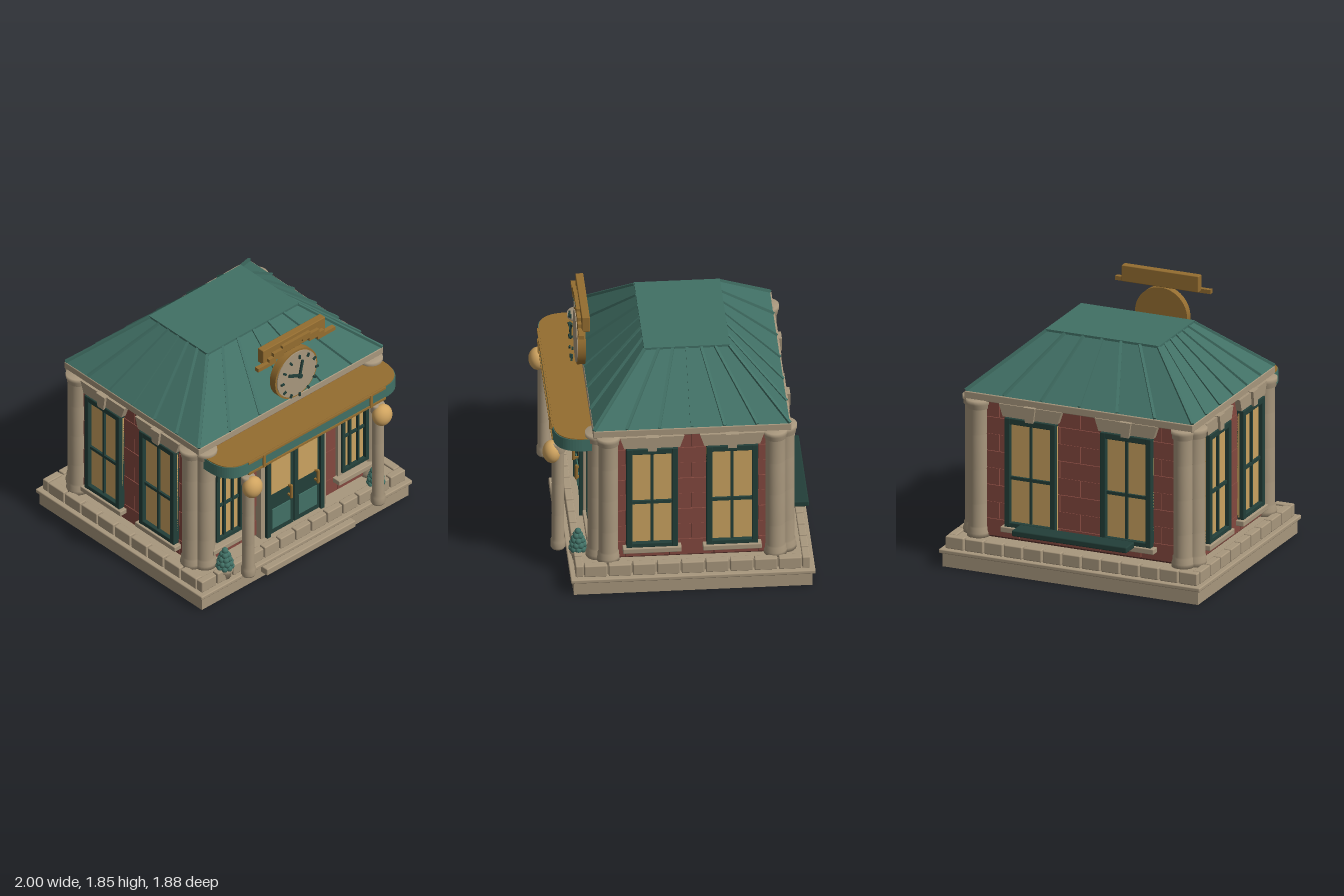
import * as THREE from 'three';
import { RoundedBoxGeometry } from 'three/addons/geometries/RoundedBoxGeometry.js';

const mat = (name, color) => Object.assign(new THREE.MeshStandardMaterial({ color }), { name });
const stone = mat('stone', 0xa8977d), brick = mat('brick', 0x84493f), mortar = mat('mortar', 0x4a2a25);
const teal = mat('teal', 0x417065), dark = mat('dark green', 0x233f39), gold = mat('gold', 0x946d30);
const glass = mat('lit glass', 0xcba360), globe = mat('lamp globe', 0xd0a460);
const CZ = -0.085; // centre of the building in z

function add(parent, name, geo, material, x = 0, y = 0, z = 0) {
  const m = new THREE.Mesh(geo, material);
  m.name = name;
  m.position.set(x, y, z);
  parent.add(m);
  return m;
}
// box given by its limits
function box(parent, name, material, x0, x1, y0, y1, z0, z1, r = 0) {
  const w = x1 - x0, h = y1 - y0, d = z1 - z0;
  const geo = r ? new RoundedBoxGeometry(w, h, d, 2, r) : new THREE.BoxGeometry(w, h, d);
  return add(parent, name, geo, material, (x0 + x1) / 2, (y0 + y1) / 2, (z0 + z1) / 2);
}
// square bar between two points
function bar(parent, name, material, a, b, w) {
  const m = add(parent, name, new THREE.BoxGeometry(w, w, a.distanceTo(b)), material);
  m.position.copy(a).add(b).multiplyScalar(0.5);
  m.lookAt(b);
}
function group(parent, name, x = 0, y = 0, z = 0, ry = 0) {
  const g = new THREE.Group();
  g.name = name;
  g.position.set(x, y, z);
  g.rotation.y = ry;
  parent.add(g);
  return g;
}
const lathe = (pts, seg = 24) => new THREE.LatheGeometry(pts.map(p => new THREE.Vector2(...p)), seg);
const extrude = (shape, depth) => new THREE.ExtrudeGeometry(shape, { depth, bevelEnabled: false, curveSegments: 16 });

// arch outline standing on y0, half width w, springing at y1
function arch(w, y0, y1, Type = THREE.Shape) {
  const s = new Type();
  s.moveTo(-w, y0);
  s.lineTo(w, y0);
  s.lineTo(w, y1);
  s.absarc(0, y1, w, 0, Math.PI, false);
  s.closePath();
  return s;
}
function archRing(wo, yo, wi, yi, ys, depth) {
  const s = arch(wo, yo, ys);
  s.holes.push(arch(wi, yi, ys, THREE.Path));
  return extrude(s, depth);
}

// wall face in local coordinates, looking along +z
function brickFace(g, half) {
  const L = 0.31, H = 0.125, n = Math.ceil(half / L) + 1;
  for (let r = 0; r < 8; r++) for (let i = -n; i <= n; i++) {
    const c = (i + (r % 2) / 2) * L;
    const a = Math.max(-half, c - L / 2 + 0.003), b = Math.min(half, c + L / 2 - 0.003);
    if (b - a > 0.02) box(g, 'brick', brick, a, b, 0.22 + r * H, 0.217 + (r + 1) * H, -0.01, r % 2 ? 0.007 : 0.01);
  }
}
function sashWindow(parent, x, w) {
  const g = group(parent, 'sashWindow', x);
  box(g, 'glass', glass, -w, w, 0.33, 1.1, 0, 0.025);
  for (const s of [-1, 1]) {
    box(g, 'frameSide', dark, s * (w - 0.021) - 0.021, s * (w - 0.021) + 0.021, 0.315, 1.12, 0, 0.058, 0.006);
    box(g, 'frameRail', dark, -w, w, s < 0 ? 0.315 : 1.075, s < 0 ? 0.35 : 1.12, 0, 0.056, 0.006);
  }
  box(g, 'mullion', dark, -0.009, 0.009, 0.355, 1.07, 0, 0.042);
  box(g, 'crossBar', dark, -w + 0.03, w - 0.03, 0.665, 0.688, 0, 0.042);
  box(g, 'sill', stone, -w - 0.025, w + 0.025, 0.275, 0.315, 0, 0.07, 0.006);
  const trapezoid = (b, t, y0, y1) => new THREE.Shape([[-b, y0], [b, y0], [t, y1], [-t, y1]].map(p => new THREE.Vector2(...p)));
  add(g, 'lintel', extrude(trapezoid(w + 0.015, w + 0.045, 1.125, 1.215), 0.05), stone);
  add(g, 'keystone', extrude(trapezoid(0.03, 0.045, 1.11, 1.22), 0.07), stone);
}

export function createModel() {
  const root = new THREE.Group();
  root.name = 'clockPavilion';

  // base and perimeter stones
  box(root, 'base', stone, -0.98, 0.98, 0, 0.105, -0.92, 0.75);
  box(root, 'baseLip', stone, -1, 1, 0.1, 0.13, -0.94, 0.77, 0.008);
  box(root, 'frontStep', stone, -0.42, 0.42, 0.045, 0.1, 0.7, 0.815, 0.008);
  box(root, 'floor', stone, -0.93, 0.93, 0.12, 0.205, -0.875, 0.705);
  const row = (n, a, b, make) => {
    const s = (b - a) / n;
    for (let i = 0; i < n; i++) make(a + i * s + 0.006, a + (i + 1) * s - 0.006);
  };
  row(13, -0.97, 0.97, (a, b) => {
    box(root, 'stoneBlock', stone, a, b, 0.13, 0.22, 0.68, 0.735, 0.008);
    box(root, 'stoneBlock', stone, a, b, 0.13, 0.22, -0.905, -0.85, 0.008);
  });
  row(9, -0.85, 0.68, (a, b) => {
    for (const s of [-1, 1]) box(root, 'stoneBlock', stone, s * 0.9375 - 0.03, s * 0.9375 + 0.03, 0.13, 0.22, a, b, 0.008);
  });

  // walls
  box(root, 'wallCore', mortar, -0.84, 0.84, 0.2, 1.22, -0.735, 0.565);
  const front = group(root, 'frontWall', 0, 0, 0.57);
  const back = group(root, 'backWall', 0, 0, -0.74, Math.PI);
  const sides = [-1, 1].map(s => group(root, s > 0 ? 'leftWall' : 'rightWall', s * 0.845, 0, CZ, s * Math.PI / 2));
  brickFace(front, 0.835);
  brickFace(back, 0.835);
  sides.forEach(g => brickFace(g, 0.645));
  for (const s of [-1, 1]) {
    sides.forEach(g => sashWindow(g, s * 0.28, 0.18));
    sashWindow(back, s * 0.367, 0.195);
  }
  box(back, 'bench', dark, -0.44, 0.44, 0.305, 0.35, 0.06, 0.198, 0.01);

  // paired corner columns
  const columnGeo = lathe([[0, 0.2], [0.082, 0.2], [0.082, 0.235], [0.076, 0.25], [0.076, 0.275], [0.07, 0.285],
    [0.07, 0.446], [0.066, 0.45], [0.07, 0.454], [0.07, 0.7], [0.066, 0.704], [0.07, 0.708], [0.07, 0.956], [0.066, 0.96],
    [0.07, 0.964], [0.07, 1.145], [0.078, 1.15], [0.078, 1.175], [0.086, 1.185], [0.086, 1.215], [0, 1.215]]);
  for (const sx of [-1, 1]) for (const sz of [-1, 1]) {
    add(root, 'cornerColumn', columnGeo, stone, sx * 0.785, 0, CZ + sz * 0.655);
    add(root, 'cornerColumn', columnGeo, stone, sx * 0.845, 0, CZ + sz * 0.585);
  }

  // arched front windows
  for (const s of [-1, 1]) {
    const g = group(front, 'archedWindow', s * 0.595);
    add(g, 'archTrim', archRing(0.15, 0.355, 0.115, 0.38, 0.91, 0.035), stone);
    add(g, 'archFrame', archRing(0.124, 0.38, 0.097, 0.405, 0.91, 0.055), dark);
    add(g, 'archGlass', extrude(arch(0.105, 0.39, 0.91), 0.025), glass);
    for (const x of [-0.04, 0.04]) box(g, 'mullion', dark, x - 0.009, x + 0.009, 0.4, 0.99, 0, 0.042);
    box(g, 'crossBar', dark, -0.1, 0.1, 0.665, 0.685, 0, 0.04);
    box(g, 'sill', stone, -0.175, 0.175, 0.305, 0.345, 0, 0.075, 0.006);
  }

  // double door
  const door = group(front, 'door');
  for (const s of [-1, 1]) {
    box(door, 'doorSurround', stone, s * 0.285 - 0.022, s * 0.285 + 0.022, 0.2, 0.97, 0, 0.06);
    box(door, 'doorFrame', dark, s * 0.255 - 0.016, s * 0.255 + 0.016, 0.2, 0.94, 0, 0.085);
    const leaf = group(door, 'doorLeaf', s * 0.127);
    box(leaf, 'leafPanel', dark, -0.121, 0.121, 0.21, 0.92, 0, 0.065);
    box(leaf, 'leafGlass', glass, -0.09, 0.09, 0.555, 0.875, 0.06, 0.071);
    box(leaf, 'lowerPanel', teal, -0.085, 0.085, 0.255, 0.42, 0.06, 0.073);
    add(leaf, 'handle', new THREE.CapsuleGeometry(0.011, 0.1, 4, 10), gold, 0.07, 0.52, 0.1);
    for (const y of [0.48, 0.56]) box(leaf, 'handleMount', gold, 0.063, 0.077, y - 0.007, y + 0.007, 0.06, 0.1);
  }
  box(door, 'doorSurroundTop', stone, -0.307, 0.307, 0.935, 0.97, 0, 0.06);
  box(door, 'doorFrameTop', dark, -0.27, 0.27, 0.91, 0.94, 0, 0.085);

  // canopy with rounded front corners
  const canopy = (half, frontZ) => {
    const s = new THREE.Shape();
    s.moveTo(-half, -0.58);
    s.lineTo(half, -0.58);
    s.lineTo(half, -0.68);
    s.quadraticCurveTo(half - 0.01, -frontZ, half - 0.19, -frontZ);
    s.lineTo(-half + 0.19, -frontZ);
    s.quadraticCurveTo(-half + 0.01, -frontZ, -half, -0.68);
    s.closePath();
    return s;
  };
  const layer = (name, m, half, z, y0, y1) => {
    add(root, name, extrude(canopy(half, z), y1 - y0), m, 0, y0, 0).rotation.x = -Math.PI / 2;
  };
  layer('canopyBody', teal, 0.84, 0.87, 1.088, 1.18);
  layer('canopyTop', gold, 0.835, 0.865, 1.18, 1.187);
  for (const y of [1.078, 1.168]) box(root, 'canopyTrim', gold, -0.65, 0.65, y, y + 0.016, 0.86, 0.878);
  for (const s of [-1, 1]) box(root, 'canopyBand', gold, s * 0.507 - 0.01, s * 0.507 + 0.01, 1.078, 1.184, 0.86, 0.884);

  // cornice and hipped roof
  box(root, 'cornice', stone, -0.875, 0.875, 1.21, 1.265, -0.78, 0.605, 0.006);
  const roofGeo = new THREE.BoxGeometry(1.74, 0.385, 1.37);
  const p = roofGeo.attributes.position;
  for (let i = 0; i < p.count; i++) if (p.getY(i) > 0) p.setXYZ(i, Math.sign(p.getX(i)) * 0.43, p.getY(i), Math.sign(p.getZ(i)) * 0.295);
  roofGeo.computeVertexNormals();
  add(root, 'roof', roofGeo, teal, 0, 1.4575, CZ);
  box(root, 'roofCap', teal, -0.435, 0.435, 1.635, 1.662, CZ - 0.3, CZ + 0.3);
  const rib = (x, z, tx, tz) => bar(root, 'roofRib', teal, new THREE.Vector3(x, 1.27, CZ + z), new THREE.Vector3(tx, 1.65, CZ + tz), 0.02);
  for (const s of [-1, 1]) {
    for (let k = -3; k <= 3; k++) rib(k * 0.29, s * 0.685, k * 0.1433, s * 0.295);
    for (let k = -2; k <= 2; k++) rib(s * 0.87, k * 0.2283, s * 0.43, k * 0.0983);
  }

  // clock
  const clock = group(root, 'clock', 0, 1.515, 0);
  add(clock, 'clockCase', new THREE.CylinderGeometry(0.2, 0.2, 0.055, 48), gold, 0, 0, 0.63).rotation.x = Math.PI / 2;
  add(clock, 'clockFace', new THREE.CylinderGeometry(0.185, 0.185, 0.008, 48), stone, 0, 0, 0.66).rotation.x = Math.PI / 2;
  const hand = (name, angle, r0, r1, w) => {
    const g = group(clock, name);
    g.rotation.z = -angle;
    box(g, name, dark, -w / 2, w / 2, r0, r1, 0.688, 0.7);
  };
  for (let i = 0; i < 12; i++) hand('hourMark', i * Math.PI / 6, 0.148, 0.176, 0.014);
  hand('minuteHand', 0.22, -0.02, 0.125, 0.018);
  hand('hourHand', -1.15, -0.02, 0.112, 0.022);
  add(clock, 'clockHub', new THREE.CylinderGeometry(0.018, 0.018, 0.02, 16), dark, 0, 0, 0.697).rotation.x = Math.PI / 2;

  // stepped crest over the clock
  box(root, 'crest', gold, -0.295, 0.295, 1.725, 1.845, 0.582, 0.638, 0.006);
  for (const s of [-1, 1]) for (const [a, b, y] of [[0.2, 0.365, 1.71], [0.12, 0.26, 1.737], [0.06, 0.215, 1.765], [0, 0.13, 1.785]])
    box(root, 'crestStep', gold, Math.min(s * a, s * b), Math.max(s * a, s * b), y, y + 0.03, 0.63, 0.664);

  // lamp posts and planters
  const postGeo = lathe([[0, 0.17], [0.045, 0.17], [0.052, 0.185], [0.052, 0.235], [0.043, 0.255], [0.043, 0.446], [0.04, 0.45],
    [0.043, 0.454], [0.043, 0.7], [0.04, 0.704], [0.043, 0.708], [0.043, 0.955], [0.052, 0.965], [0.052, 1.02], [0.045, 1.035], [0, 1.035]]);
  const potGeo = lathe([[0, 0.13], [0.038, 0.13], [0.05, 0.185], [0.058, 0.187], [0.058, 0.212], [0.045, 0.212], [0, 0.205]]);
  const leafGeo = new THREE.SphereGeometry(0.024, 10, 8);
  for (const s of [-1, 1]) {
    add(root, 'lampPost', postGeo, stone, s * 0.615, 0, 0.832);
    add(root, 'lampGlobe', new THREE.SphereGeometry(1, 28, 20), globe, s * 0.615, 0.958, 0.875).scale.set(0.076, 0.083, 0.065);
    const g = group(root, 'planter', s * 0.715, 0, 0.7);
    add(g, 'pot', potGeo, stone);
    add(g, 'shrubCore', new THREE.ConeGeometry(0.055, 0.17, 12), teal, 0, 0.285, 0);
    [[0.044, 8], [0.04, 8], [0.03, 6], [0.018, 4], [0, 1]].forEach(([r, n], j) => {
      for (let i = 0; i < n; i++) {
        const a = (i + j / 2) / n * Math.PI * 2;
        add(g, 'shrubLeaf', leafGeo, teal, r * Math.cos(a), 0.225 + j * 0.033, r * Math.sin(a));
      }
    });
  }
  return root;
}
